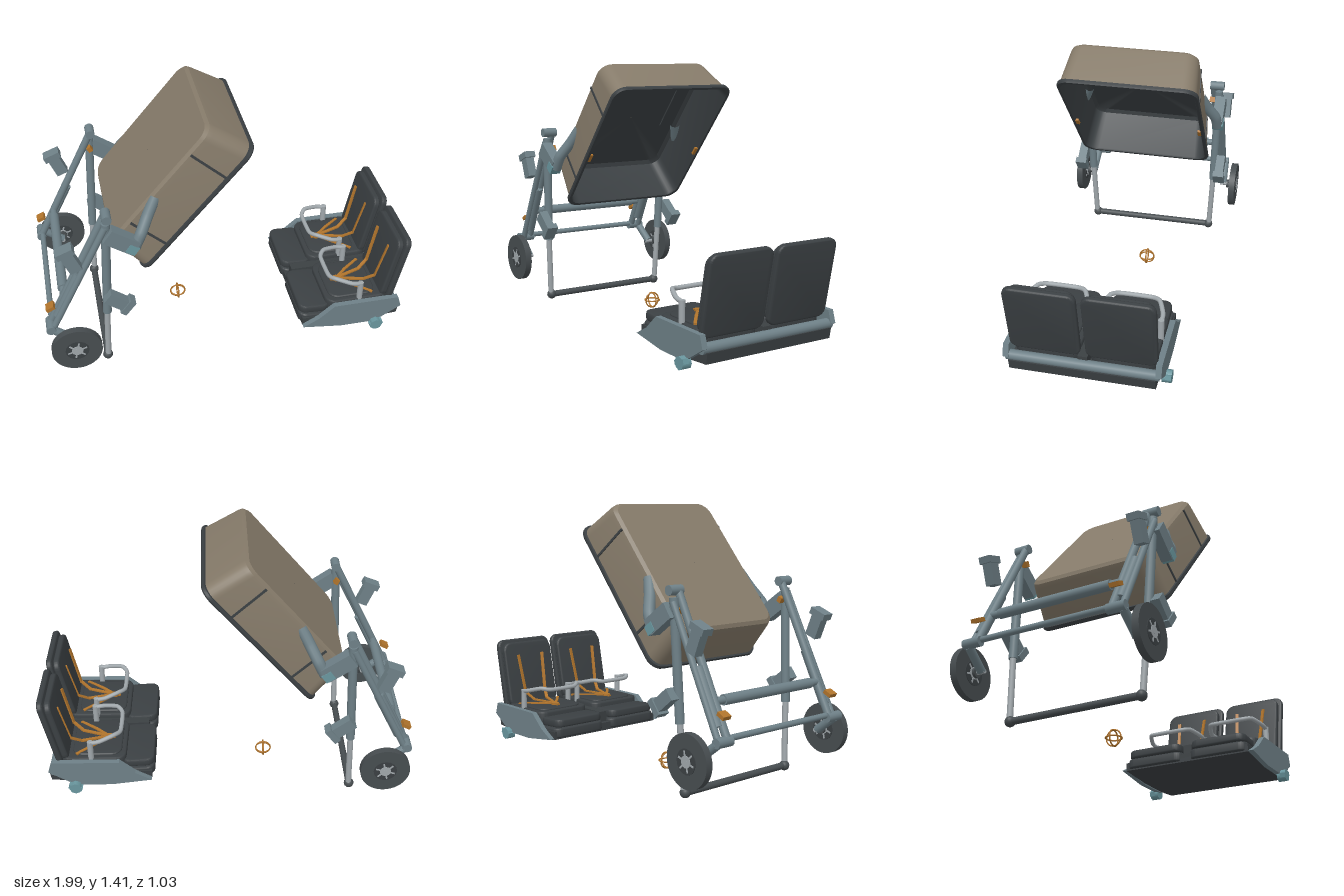
import * as THREE from 'three';
import { toCreasedNormals } from 'three/addons/utils/BufferGeometryUtils.js';

const mat = (name, color) => Object.assign(new THREE.MeshStandardMaterial({ color }), { name });
const V = (x, y, z) => new THREE.Vector3(x, y, z);

export function createModel() {
  const model = new THREE.Group();
  const beige = mat('beige shell', 0x857a69);
  const dark = mat('dark padding', 0x3b4043);
  const rubber = mat('wheel rubber', 0x474d50);
  const steel = mat('blue grey steel', 0x6e8087);
  const light = mat('light metal', 0xa0a7ab);
  const orange = mat('orange webbing', 0xb0742c);
  const teal = mat('teal plastic', 0x6a979f);
  beige.side = dark.side = THREE.DoubleSide;

  const add = (name, geo, m, parent = model, pos = [0, 0, 0], rot = [0, 0, 0]) => {
    const mesh = new THREE.Mesh(geo, m);
    mesh.name = name;
    mesh.position.set(...pos);
    mesh.rotation.set(...rot);
    parent.add(mesh);
    return mesh;
  };
  const box = (name, size, m, pos, rot, parent) =>
    add(name, new THREE.BoxGeometry(...size), m, parent, pos, rot);
  // Straight round bar between two points
  const bar = (name, a, b, r, m, parent, r2 = r) => {
    const d = b.clone().sub(a);
    const mesh = add(name, new THREE.CylinderGeometry(r2, r, d.length(), 16), m, parent);
    mesh.position.copy(a).addScaledVector(d, 0.5);
    mesh.quaternion.setFromUnitVectors(V(0, 1, 0), d.normalize());
    return mesh;
  };
  // Bent round tube through points
  const tube = (name, pts, r, m, parent) => add(name, new THREE.TubeGeometry(
    new THREE.CatmullRomCurve3(pts, false, 'catmullrom', 0.3), 32, r, 12), m, parent);
  // Flat strap made from short thin boxes
  const strap = (name, pts, w, m) => {
    for (let i = 0; i < pts.length - 1; i++) {
      const d = pts[i + 1].clone().sub(pts[i]);
      const s = add(name, new THREE.BoxGeometry(w, 0.008, d.length() + 0.006), m);
      s.position.copy(pts[i]).addScaledVector(d, 0.5);
      s.lookAt(pts[i + 1]);
    }
  };
  const roundRect = (w, h, r) => {
    const s = new THREE.Shape(), x = w / 2, y = h / 2;
    s.moveTo(-x + r, -y).lineTo(x - r, -y).absarc(x - r, -y + r, r, -Math.PI / 2, 0);
    s.lineTo(x, y - r).absarc(x - r, y - r, r, 0, Math.PI / 2);
    s.lineTo(-x + r, y).absarc(-x + r, y - r, r, Math.PI / 2, Math.PI);
    s.lineTo(-x, -y + r).absarc(-x + r, -y + r, r, Math.PI, Math.PI * 1.5);
    return s;
  };
  // Soft-edged pad lying in xy, centred, thickness along z
  const pad = (w, h, r, t, b = 0.01) => toCreasedNormals(new THREE.ExtrudeGeometry(
    roundRect(w - 2 * b, h - 2 * b, r), {
      depth: t - 2 * b, bevelEnabled: true, bevelSize: b, bevelThickness: b, bevelSegments: 3, curveSegments: 6,
    }).translate(0, 0, b - t / 2), 0.6);
  // Loft of rounded rectangles; each ring is [halfLength, halfWidth, radius, height]
  const loft = (rings) => {
    const pos = [], idx = [], n = 28;
    for (const [hl, hw, r, y] of rings) for (let c = 0; c < 4; c++) for (let k = 0; k < 7; k++) {
      const a = (c + k / 6) * Math.PI / 2, sx = c === 0 || c === 3 ? 1 : -1, sz = c < 2 ? 1 : -1;
      pos.push(sx * (hl - r) + r * Math.cos(a), y, sz * (hw - r) + r * Math.sin(a));
    }
    for (let i = 0; i < rings.length - 1; i++) for (let j = 0; j < n; j++) {
      const a = i * n + j, b = i * n + (j + 1) % n;
      idx.push(a, a + n, b, b, a + n, b + n);
    }
    const g = new THREE.BufferGeometry();
    g.setAttribute('position', new THREE.Float32BufferAttribute(pos, 3));
    g.setIndex(idx);
    return toCreasedNormals(g, 0.6);
  };

  // Tilted tub, opening towards lower +x
  const tub = new THREE.Group();
  tub.name = 'tub';
  tub.position.set(-0.18, 0.95, 0);
  tub.rotation.z = 0.865;
  model.add(tub);
  add('tubShell', loft([[0.437, 0.365, 0.07, 0.012], [0.408, 0.346, 0.07, 0.215], [0.402, 0.341, 0.068, 0.238],
    [0.385, 0.325, 0.06, 0.252], [0.002, 0.002, 0.001, 0.254]]), beige, tub);
  add('tubLining', loft([[0.002, 0.002, 0.001, 0.238], [0.375, 0.315, 0.06, 0.238], [0.395, 0.333, 0.06, 0.222],
    [0.425, 0.354, 0.065, 0.0], [0.43, 0.358, 0.068, -0.008], [0.444, 0.372, 0.07, -0.008],
    [0.448, 0.376, 0.072, 0], [0.446, 0.374, 0.072, 0.014], [0.434, 0.362, 0.07, 0.016]]), dark, tub);
  for (const s of [1, -1]) {
    for (const u of [-0.24, 0.24])
      box('sideSeam', [0.012, 0.235, 0.008], dark, [u, 0.12, s * 0.356], [-s * 0.094, 0, 0], tub);
    box('liningStrip', [0.44, 0.008, 0.018], dark, [0.15, 0.231, s * 0.23], [0, 0, 0], tub);
    box('liningTab', [0.05, 0.012, 0.024], orange, [-0.06, 0, s * 0.35], [0, 0, 0], tub);
  }

  // Folding frame, mirrored about z = 0
  for (const s of [1, -1]) {
    const p = (x, y, z) => V(x, y, s * z);
    const frame = new THREE.Group();
    frame.name = s > 0 ? 'frontSideFrame' : 'backSideFrame';
    model.add(frame);
    bar('rearLeg', p(-0.64, 1.02, 0.365), p(-0.975, 0.35, 0.365), 0.02, steel, frame);
    bar('rearLegOuterTube', p(-0.65, 0.96, 0.405), p(-0.965, 0.34, 0.41), 0.017, steel, frame);
    bar('rearLegSleeve', p(-0.80, 0.67, 0.385), p(-0.93, 0.41, 0.385), 0.027, steel, frame);
    bar('topPivot', p(-0.64, 1.015, 0.345), p(-0.64, 1.015, 0.425), 0.025, steel, frame);
    bar('legEndCap', p(-0.975, 0.35, 0.345), p(-0.975, 0.35, 0.44), 0.025, steel, frame);
    bar('frontLegUpper', p(-0.645, 0.98, 0.395), p(-0.675, 0.38, 0.38), 0.023, steel, frame);
    bar('frontLegLower', p(-0.675, 0.39, 0.38), p(-0.69, 0.05, 0.365), 0.016, light, frame);
    add('frontLegFoot', new THREE.SphereGeometry(0.027, 16, 12), rubber, frame, [-0.693, 0.042, s * 0.36]);
    // Shoulder joint and curved arm gripping the tub
    box('shoulderBlock', [0.17, 0.085, 0.06], steel, [-0.575, 0.875, s * 0.41], [0, 0, -0.62], frame);
    box('shoulderTip', [0.055, 0.05, 0.062], teal, [-0.525, 0.825, s * 0.412], [0, 0, -0.62], frame);
    tube('tubArm', [p(-0.51, 0.82, 0.41), p(-0.475, 0.89, 0.40), p(-0.43, 0.97, 0.355), p(-0.385, 1.05, 0.32)],
      0.03, steel, frame);
    box('releaseTab', [0.025, 0.03, 0.065], orange, [-0.65, 0.92, s * 0.375], [0, 0, 0.5], frame);
    box('legBand', [0.045, 0.02, 0.05], orange, [-0.965, 0.47, s * 0.38], [0, 0, 0.46], frame);
    // Clamps on each leg
    for (const [x, y, rot] of [[-0.835, 0.80, 0.38], [-0.62, 0.49, -2.24]]) {
      const clamp = new THREE.Group();
      clamp.name = 'clamp';
      clamp.position.set(x, y, s * 0.425);
      clamp.rotation.z = rot;
      frame.add(clamp);
      box('clampBody', [0.065, 0.13, 0.05], steel, [0, 0, 0], [0, 0, 0], clamp);
      box('clampHead', [0.092, 0.035, 0.065], steel, [0, 0.065, 0], [0, 0, 0], clamp);
    }
    // Wheel with axle arm
    bar('wheelArm', p(-0.965, 0.34, 0.42), p(-0.855, 0.255, 0.425), 0.022, steel, frame);
    bar('axle', p(-0.855, 0.255, 0.405), p(-0.855, 0.255, 0.515), 0.012, light, frame);
    bar('hubFlange', p(-0.855, 0.255, 0.448), p(-0.855, 0.255, 0.462), 0.026, rubber, frame);
    bar('wheelTyre', p(-0.855, 0.255, 0.472), p(-0.855, 0.255, 0.508), 0.132, rubber, frame).geometry =
      new THREE.CylinderGeometry(0.132, 0.132, 0.036, 40);
    bar('wheelCentre', p(-0.855, 0.255, 0.469), p(-0.855, 0.255, 0.511), 0.062, dark, frame);
    bar('wheelHub', p(-0.855, 0.255, 0.466), p(-0.855, 0.255, 0.514), 0.03, light, frame);
    for (let i = 0; i < 6; i++) {
      const a = i * Math.PI / 3 + 0.3;
      box('wheelSpoke', [0.05, 0.009, 0.046], light,
        [-0.855 + 0.028 * Math.cos(a), 0.255 + 0.028 * Math.sin(a), s * 0.49], [0, 0, a], frame);
    }
  }
  // Cross bars
  bar('frontCrossBar', V(-0.693, 0.042, -0.36), V(-0.693, 0.042, 0.36), 0.018, rubber);
  bar('rearCrossBar', V(-0.968, 0.36, -0.37), V(-0.968, 0.36, 0.37), 0.015, steel);
  bar('middleCrossBar', V(-0.89, 0.52, -0.36), V(-0.89, 0.52, 0.36), 0.019, steel);
  bar('middleBarGrip', V(-0.89, 0.52, -0.31), V(-0.89, 0.52, 0.31), 0.026, steel);

  // Double seat, facing -x
  const profile = (pts, depth) => new THREE.ExtrudeGeometry(
    new THREE.Shape(pts.map(([x, y]) => new THREE.Vector2(x, y))), { depth, bevelEnabled: false });
  const zc = 0.03;
  add('seatPan', profile([[0.4, 0.085], [0.62, 0.065], [0.82, 0.065], [0.955, 0.075], [0.965, 0.13], [0.4, 0.13]], 0.75),
    dark, model, [0, 0, zc - 0.375]);
  bar('backRail', V(0.935, 0.145, zc - 0.39), V(0.935, 0.145, zc + 0.39), 0.027, steel);
  box('seatDivider', [0.5, 0.07, 0.05], dark, [0.68, 0.155, zc]);
  for (const s of [1, -1]) {
    add('seatSidePlate', profile([[0.40, 0.09], [0.49, 0.14], [0.575, 0.215], [0.945, 0.215], [0.965, 0.15],
      [0.82, 0.06], [0.62, 0.06]], 0.03), steel, model, [0, 0, zc + s * 0.388 - 0.015]);
    add('sideKnob', new THREE.CylinderGeometry(0.034, 0.034, 0.05, 8), teal, model,
      [0.82, 0.055, zc + s * 0.408], [Math.PI / 2, 0, 0]);
    box('knobLever', [0.075, 0.025, 0.03], teal, [0.82, 0.06, zc + s * 0.418], [0, 0, 0.3]);

    const z = zc + s * 0.195;
    const flat = -Math.PI / 2;
    add('seatCushion', pad(0.36, 0.345, 0.045, 0.085), dark, model, [0.72, 0.175, z], [flat, 0, 0]);
    add('seatCushionTop', pad(0.27, 0.29, 0.05, 0.03, 0.008), dark, model, [0.70, 0.212, z], [flat, 0, 0]);
    add('legRest', pad(0.18, 0.325, 0.035, 0.045), dark, model, [0.475, 0.17, z], [flat, 0.06, 0]);
    add('legRestLower', pad(0.2, 0.345, 0.035, 0.055), dark, model, [0.485, 0.115, z], [flat, 0.06, 0]);
    // Reclined back: shell panel and inner cushion
    const back = new THREE.Group();
    back.name = 'seatBack';
    back.position.set(0.94, 0.385, z);
    back.rotation.z = -0.2;
    model.add(back);
    add('backPanel', pad(0.365, 0.415, 0.035, 0.032), dark, back, [0, 0, 0], [0, Math.PI / 2, 0]);
    add('backCushion', pad(0.335, 0.39, 0.04, 0.034), dark, back, [-0.034, -0.01, 0], [0, Math.PI / 2, 0]);

    // Bumper bar
    const r = 0.16;
    tube('bumperBar', [V(0.73, 0.315, z - r), V(0.68, 0.325, z - r), V(0.6, 0.345, z - r * 0.8), V(0.568, 0.337, z - r * 0.5),
      V(0.568, 0.337, z + r * 0.5), V(0.6, 0.345, z + r * 0.8), V(0.68, 0.325, z + r), V(0.73, 0.315, z + r)], 0.012, light);
    // Harness
    bar('buckle', V(0.64, 0.225, z), V(0.64, 0.238, z), 0.022, orange);
    for (const q of [1, -1]) {
      bar('bumperPost', V(0.73, 0.2, z + q * r), V(0.73, 0.325, z + q * r), 0.016, light);
      strap('shoulderStrap', [V(0.64, 0.234, z), V(0.79, 0.24, z + q * 0.045), V(0.845, 0.28, z + q * 0.07),
        V(0.895, 0.5, z + q * 0.085)], 0.018, orange);
      strap('lapStrap', [V(0.64, 0.232, z), V(0.72, 0.232, z + q * 0.07), V(0.81, 0.225, z + q * 0.14)], 0.016, orange);
    }
    strap('crotchStrap', [V(0.61, 0.23, z), V(0.66, 0.232, z)], 0.02, orange);
  }

  // Small ball of three crossed rings
  for (const rot of [[0, 0, 0], [Math.PI / 2, 0, 0], [0, Math.PI / 2, 0]])
    add('ringBall', new THREE.TorusGeometry(0.042, 0.004, 8, 32), orange, model, [-0.23, 0.049, -0.058], rot);

  return model;
}
